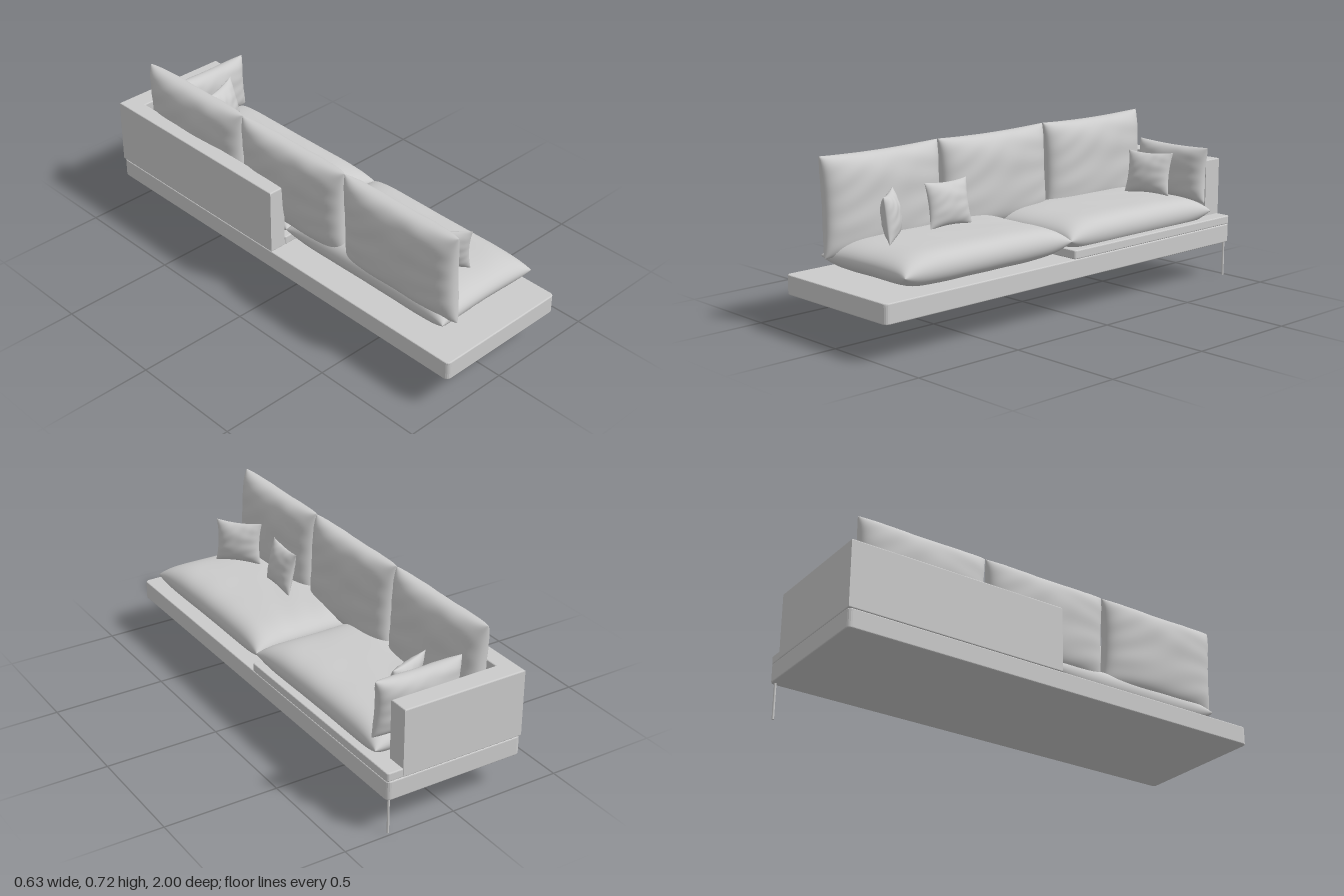
import * as THREE from 'three';
import { mergeGeometries, mergeVertices } from 'three/addons/utils/BufferGeometryUtils.js';

const material = new THREE.MeshStandardMaterial({ color: 0xcccccc });

function mesh(name, geometry, parent) {
  const m = new THREE.Mesh(geometry, material);
  m.name = name;
  parent.add(m);
  return m;
}

// Upholstered panel: a plan outline of [x, z] corners raised from y0 to y1, with eased edges
function slab(name, outline, y0, y1, parent) {
  const bevel = 0.005;
  const shape = new THREE.Shape(outline.map(([x, z]) => new THREE.Vector2(x, -z)));
  const geometry = new THREE.ExtrudeGeometry(shape, {
    depth: y1 - y0 - 2 * bevel, bevelEnabled: true, bevelSegments: 3,
    bevelSize: bevel, bevelThickness: bevel, bevelOffset: -bevel,
  });
  geometry.rotateX(-Math.PI / 2).translate(0, y0 + bevel, 0);
  return mesh(name, geometry, parent);
}

// Rectangle plan with rounded corners
function roundedPlan(x0, x1, z0, z1, r) {
  const points = [];
  const corners = [[x1 - r, z1 - r], [x0 + r, z1 - r], [x0 + r, z0 + r], [x1 - r, z0 + r]];
  corners.forEach(([x, z], i) => {
    for (let k = 0; k <= 4; k++) {
      const a = (i + k / 4) * Math.PI / 2;
      points.push([x + r * Math.cos(a), z + r * Math.sin(a)]);
    }
  });
  return points;
}

// Stuffed cushion: two bulging sheets that share a seam pulled in between the corners.
// p sets how flat the middle is, q how blunt the edges are.
function cushionGeometry({ w, h, t, pinch = 0.05, p = 4, q = 0.5, wrinkle = 0 }) {
  const sheets = [1, -1].map((side) => {
    const g = new THREE.PlaneGeometry(2, 2, 40, 40);
    const pos = g.attributes.position;
    for (let i = 0; i < pos.count; i++) {
      const u = Math.sin(pos.getX(i) * Math.PI / 2);
      const v = Math.sin(pos.getY(i) * Math.PI / 2);
      const fill = Math.max(0, (1 - Math.abs(u) ** p) * (1 - Math.abs(v) ** p)) ** q;
      const fold = wrinkle * Math.sin(9 * u * v + 3 * u) * Math.sin(7 * v - 4 * u) * fill;
      const x = u * w / 2 * (1 - pinch * (1 - v * v));
      const y = v * h / 2 * (1 - pinch * (1 - u * u));
      pos.setXYZ(i, side * x, y, side * (t / 2 * fill + fold));
    }
    g.deleteAttribute('normal');
    g.deleteAttribute('uv');
    return g;
  });
  const geometry = mergeVertices(mergeGeometries(sheets), 1e-5);
  geometry.computeVertexNormals();
  return geometry;
}

function cushion(name, options, position, [turn, lean], parent) {
  const m = mesh(name, cushionGeometry(options), parent);
  m.position.set(...position);
  m.rotation.set(lean, turn, 0, 'YXZ');
  return m;
}

export function createModel() {
  const sofa = new THREE.Group();
  sofa.name = 'sofa';

  // Platform, raised tray under the rear seat, and the single slim leg
  slab('platform', roundedPlan(-0.315, 0.315, -1, 1, 0.02), 0.157, 0.24, sofa);
  slab('tray', roundedPlan(-0.24, 0.315, -0.998, 0, 0.012), 0.24, 0.278, sofa);
  const leg = mesh('leg', new THREE.CylinderGeometry(0.005, 0.005, 0.16, 16), sofa);
  leg.position.set(0.296, 0.08, -0.983);

  // L-shaped low back and arm
  slab('backAndArm', [
    [-0.315, -1], [-0.315, 0], [-0.24, 0], [-0.24, -0.91], [0.244, -0.91], [0.244, -1],
  ], 0.24, 0.533, sofa);

  // Two long seat cushions
  for (const z of [0.443, -0.443]) {
    cushion('seatCushion', { w: 0.525, h: 0.89, t: 0.146, pinch: 0.03, p: 6, q: 0.5, wrinkle: 0.001 },
      [0.033, 0.313, z], [0, -Math.PI / 2], sofa);
  }

  // Three tall back cushions
  for (const z of [0.61, 0, -0.61]) {
    cushion('backCushion', { w: 0.605, h: 0.41, t: 0.14, pinch: 0.04, p: 4, q: 0.45, wrinkle: 0.003 },
      [-0.182, 0.515, z], [Math.PI / 2, -0.05], sofa);
  }

  // Cushion against the arm
  cushion('armCushion', { w: 0.4, h: 0.25, t: 0.1, pinch: 0.06, q: 0.5, wrinkle: 0.002 },
    [0.088, 0.475, -0.857], [0, -0.06], sofa);

  // Loose throw pillows
  const pillow = { w: 0.215, h: 0.195, t: 0.075, pinch: 0.1, p: 2.5, q: 0.6, wrinkle: 0.002 };
  cushion('throwPillow', pillow, [-0.05, 0.477, 0.37], [1.5, -0.2], sofa);
  cushion('throwPillow', pillow, [-0.02, 0.477, 0.695], [2.29, -0.12], sofa);
  cushion('throwPillow', pillow, [0.06, 0.475, -0.73], [0.34, -0.25], sofa);

  return sofa;
}
